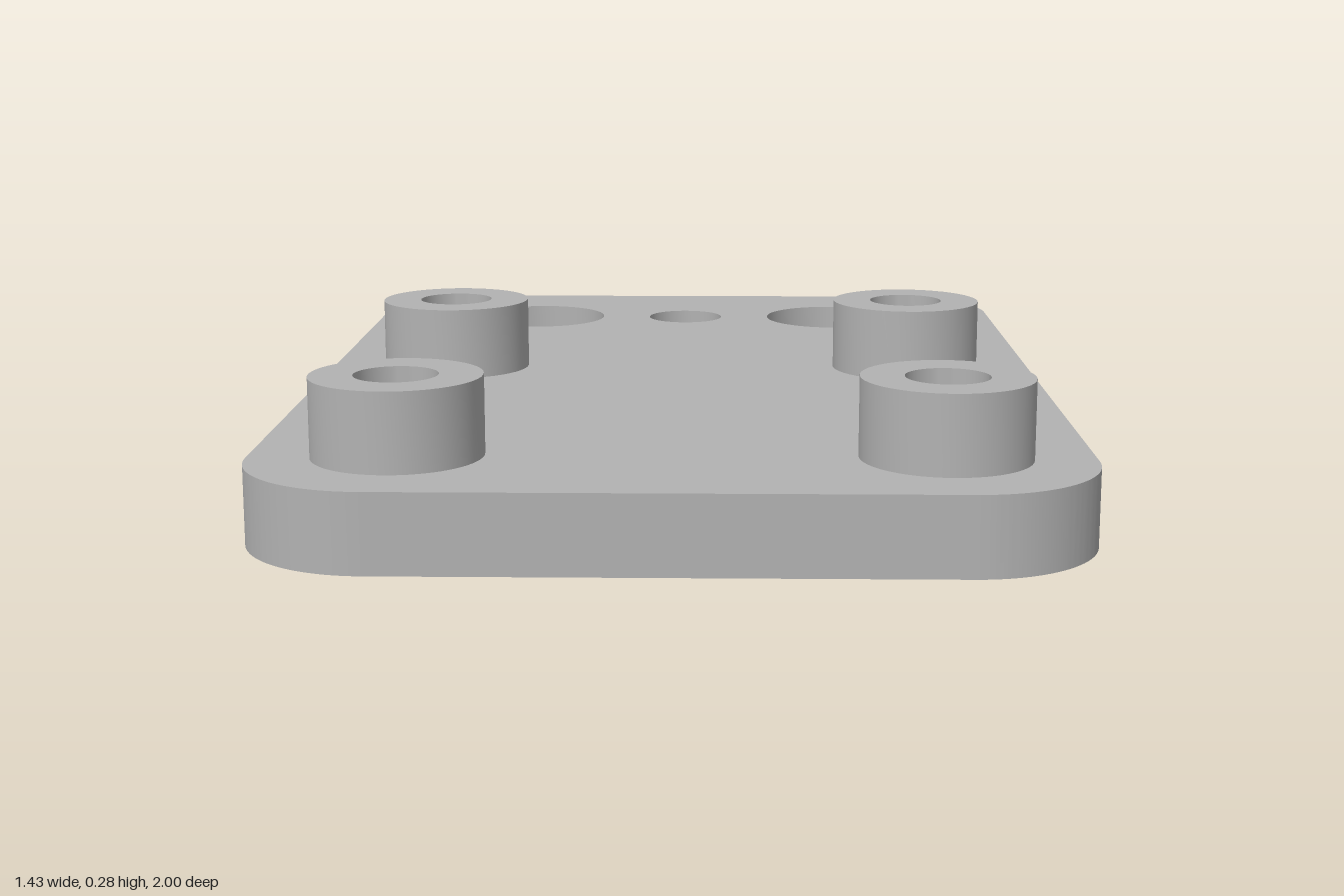
import * as THREE from 'three';
import { toCreasedNormals } from 'three/addons/utils/BufferGeometryUtils.js';

const HALF_X = 0.713, HALF_Z = 1, CORNER = 0.23;
const PLATE_TOP = 0.137, BOSS_TOP = 0.275;
const BOSS_R = 0.147, BORE_R = 0.072;
const BOSS_X = 0.461, BOSS_Z = [-0.066, 0.744];
const SEGMENTS = 48;

// Rounded rectangle, drawn with shape y = -z
function plateOutline() {
  const s = new THREE.Shape();
  const x = HALF_X - CORNER, y = HALF_Z - CORNER, q = Math.PI / 2;
  s.absarc(x, y, CORNER, 0, q);
  s.absarc(-x, y, CORNER, q, 2 * q);
  s.absarc(-x, -y, CORNER, 2 * q, 3 * q);
  s.absarc(x, -y, CORNER, 3 * q, 4 * q);
  s.closePath();
  return s;
}

function addHole(shape, x, z, r) {
  const hole = new THREE.Path();
  hole.absarc(x, -z, r, 0, Math.PI * 2, true);
  shape.holes.push(hole);
}

export function createModel() {
  const group = new THREE.Group();
  group.name = 'mountingPlate';
  const grey = new THREE.MeshStandardMaterial({ color: 0xb2b2b2 });
  grey.name = 'grey';

  // Base plate with two large holes, a small one between them, and four bores
  const outline = plateOutline();
  addHole(outline, 0, -0.686, 0.084);
  for (const side of [-1, 1]) {
    addHole(outline, side * 0.341, -0.686, 0.149);
    for (const z of BOSS_Z) addHole(outline, side * BOSS_X, z, BORE_R);
  }
  const plateGeometry = new THREE.ExtrudeGeometry(outline, {
    depth: PLATE_TOP, bevelEnabled: false, curveSegments: SEGMENTS / 2,
  });
  plateGeometry.rotateX(-Math.PI / 2);
  const plate = new THREE.Mesh(toCreasedNormals(plateGeometry, 0.6), grey);
  plate.name = 'basePlate';
  group.add(plate);

  // Four hollow standoffs: outer wall, top ring and bore
  const profile = [
    [BOSS_R, PLATE_TOP], [BOSS_R, BOSS_TOP], [BORE_R, BOSS_TOP], [BORE_R, PLATE_TOP],
  ].map(([r, y]) => new THREE.Vector2(r, y));
  const bossGeometry = toCreasedNormals(new THREE.LatheGeometry(profile, SEGMENTS), 0.6);
  for (const side of [-1, 1]) {
    BOSS_Z.forEach((z, i) => {
      const boss = new THREE.Mesh(bossGeometry, grey);
      boss.name = (i ? 'front' : 'middle') + (side > 0 ? 'Left' : 'Right') + 'Standoff';
      boss.position.set(side * BOSS_X, 0, z);
      group.add(boss);
    });
  }
  return group;
}
